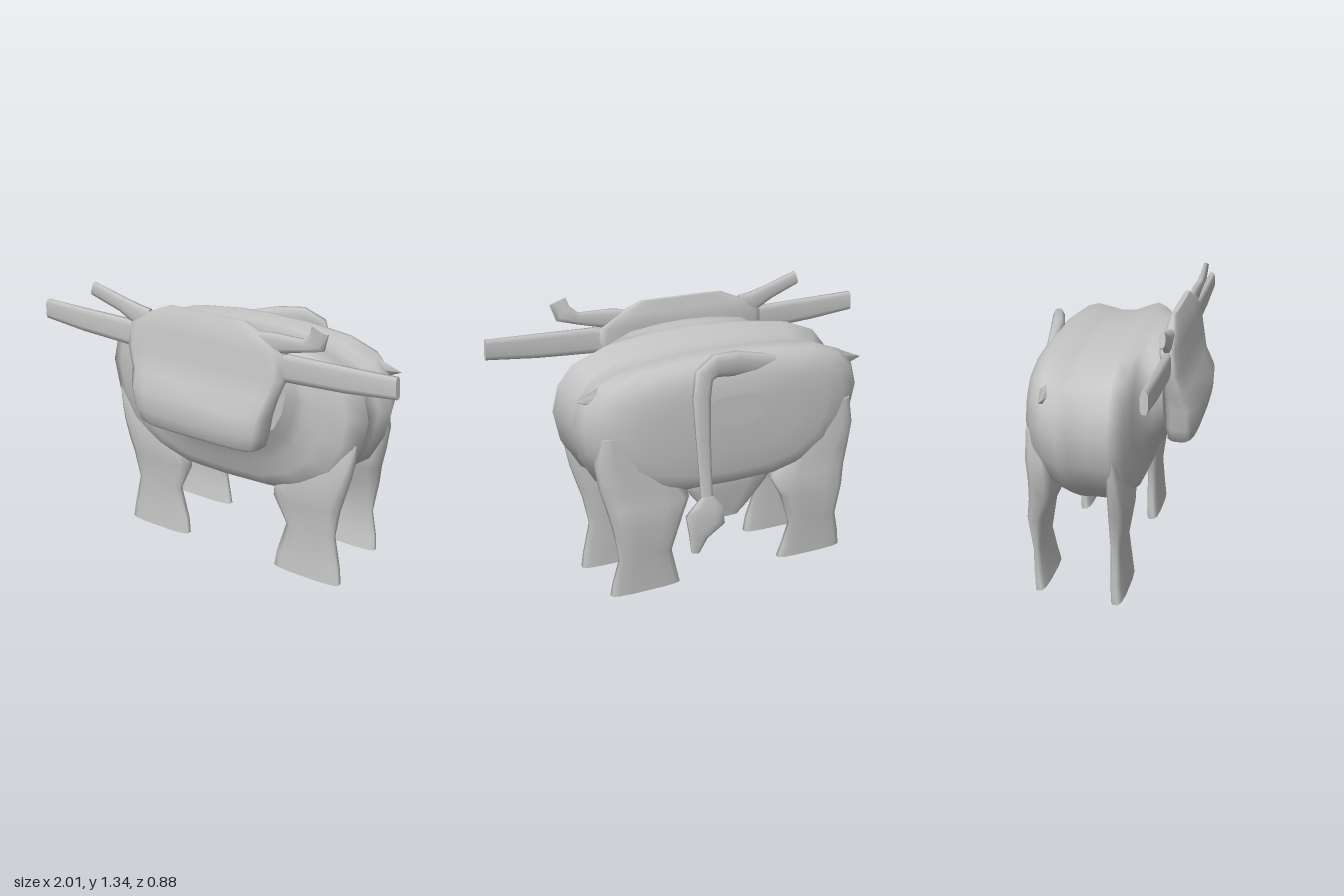
import * as THREE from 'three';

const hide = new THREE.MeshStandardMaterial({ color: 0xc4c4c4, side: THREE.DoubleSide });
hide.name = 'grey hide';

// Skin a list of equal-sized rings of Vector3, with flat caps, faces outward
function loft(name, rings) {
  const n = rings[0].length, pos = [], tris = [];
  rings.forEach(r => r.forEach(p => pos.push(p.x, p.y, p.z)));
  for (let i = 0; i < rings.length - 1; i++) {
    for (let j = 0; j < n; j++) {
      const k = (j + 1) % n, a = i * n + j, b = i * n + k, c = a + n, d = b + n;
      tris.push([a, b, d], [a, d, c]);
    }
  }
  [rings[0], rings[rings.length - 1]].forEach((r, end) => {
    const base = pos.length / 3;
    const mid = r.reduce((s, p) => s.add(p), new THREE.Vector3()).divideScalar(n);
    [mid, ...r].forEach(p => pos.push(p.x, p.y, p.z));
    for (let j = 0; j < n; j++) {
      const a = base + 1 + j, b = base + 1 + (j + 1) % n;
      tris.push(end ? [base, a, b] : [base, b, a]);
    }
  });
  const v = i => new THREE.Vector3(pos[3 * i], pos[3 * i + 1], pos[3 * i + 2]);
  const volume = tris.reduce((s, [a, b, c]) => s + v(a).dot(v(b).cross(v(c))), 0);
  if (volume < 0) tris.forEach(t => t.reverse());
  const geo = new THREE.BufferGeometry();
  geo.setAttribute('position', new THREE.Float32BufferAttribute(pos, 3));
  geo.setIndex(tris.flat());
  geo.computeVertexNormals();
  const mesh = new THREE.Mesh(geo, hide);
  mesh.name = name;
  return mesh;
}

// Rounded-square unit outline; a smaller power is squarer
function outline(n, power) {
  return Array.from({ length: n }, (_, i) => {
    const a = (i + 0.5) / n * Math.PI * 2, c = Math.cos(a), s = Math.sin(a);
    return [Math.sign(c) * Math.abs(c) ** power, Math.sign(s) * Math.abs(s) ** power];
  });
}

// Horizontal layers: [y, x0, x1, z0, z1]
function layers(name, rows, n = 12, power = 0.65) {
  return loft(name, rows.map(([y, x0, x1, z0, z1]) => outline(n, power).map(([u, w]) =>
    new THREE.Vector3((x0 + x1) / 2 + u * (x1 - x0) / 2, y, (z0 + z1) / 2 + w * (z1 - z0) / 2))));
}

// Sweep along a path: [x, y, z, breadth, depth in z]
function sweep(name, rows, n = 8, power = 0.8) {
  const at = rows.map(r => new THREE.Vector3(r[0], r[1], r[2]));
  return loft(name, rows.map((r, i) => {
    const t = at[Math.min(i + 1, at.length - 1)].clone().sub(at[Math.max(i - 1, 0)]).normalize();
    const across = t.clone().cross(new THREE.Vector3(0, 0, 1)).normalize();
    const deep = t.clone().cross(across);
    return outline(n, power).map(([u, w]) => at[i].clone()
      .addScaledVector(across, u * r[3] / 2).addScaledVector(deep, w * r[4] / 2));
  }));
}

export function createModel() {
  const cow = new THREE.Group();
  cow.name = 'cow';

  // Trunk and neck sections: [z, half width, top, bottom]
  const trunk = [
    [0.295, 0.43, 1.16, 0.70], [0.25, 0.46, 1.18, 0.63],
    [0.21, 0.48, 1.175, 0.55], [0.185, 0.57, 1.175, 0.48], [0.16, 0.67, 1.175, 0.43],
    [0.11, 0.755, 1.18, 0.405], [0.0, 0.69, 1.145, 0.39], [-0.08, 0.70, 1.14, 0.39],
    [-0.12, 0.745, 1.14, 0.42], [-0.20, 0.72, 1.16, 0.47], [-0.25, 0.68, 1.15, 0.50],
    [-0.29, 0.60, 1.12, 0.52], [-0.31, 0.50, 1.08, 0.58], [-0.322, 0.36, 1.03, 0.70],
    [-0.327, 0.15, 0.97, 0.82],
  ];
  // Half profile: [fraction of width, fraction of height], spine to belly
  const half = [[0.3, 0.99], [0.65, 0.95], [0.86, 0.87], [0.96, 0.75], [1, 0.59],
    [0.96, 0.4], [0.86, 0.22], [0.64, 0.08], [0.36, 0.01]];
  const section = [[0, 1], ...half, [0, 0], ...half.map(([u, h]) => [-u, h]).reverse()];
  cow.add(loft('body', trunk.map(([z, w, top, low]) =>
    section.map(([u, h]) => new THREE.Vector3(u * w, low + h * (top - low), z)))));

  // Head, from the chin up to the poll
  cow.add(layers('head', [
    [0.70, -0.31, 0.31, 0.31, 0.405], [0.72, -0.35, 0.35, 0.285, 0.425],
    [0.78, -0.37, 0.37, 0.28, 0.44], [0.88, -0.39, 0.39, 0.28, 0.443],
    [0.96, -0.41, 0.41, 0.28, 0.395], [1.06, -0.45, 0.45, 0.275, 0.37],
    [1.17, -0.44, 0.44, 0.26, 0.355], [1.23, -0.35, 0.35, 0.275, 0.34],
    [1.285, -0.22, 0.22, 0.29, 0.315],
  ], 16, 0.5));

  for (const side of [1, -1]) {
    const label = side > 0 ? 'left' : 'right';
    const mirror = (x0, x1) => side > 0 ? [x0, x1] : [-x1, -x0];
    const leg = (name, rows) => cow.add(layers(label + name,
      rows.map(([y, x0, x1, z0, z1]) => [y, ...mirror(x0, x1), z0, z1])));

    leg('FrontLeg', [
      [0.0, 0.27, 0.645, 0.09, 0.155], [0.08, 0.28, 0.635, 0.087, 0.147],
      [0.24, 0.33, 0.60, 0.083, 0.138], [0.38, 0.26, 0.625, 0.075, 0.158],
      [0.46, 0.27, 0.65, 0.075, 0.165], [0.56, 0.40, 0.68, 0.08, 0.16],
      [0.66, 0.55, 0.70, 0.09, 0.145], [0.74, 0.64, 0.71, 0.10, 0.13],
    ]);
    leg('HindLeg', [
      [0.025, 0.27, 0.63, -0.275, -0.215], [0.10, 0.29, 0.62, -0.28, -0.23],
      [0.22, 0.32, 0.59, -0.288, -0.247], [0.38, 0.27, 0.615, -0.312, -0.225],
      [0.48, 0.22, 0.635, -0.303, -0.18], [0.58, 0.28, 0.66, -0.297, -0.16],
      [0.70, 0.42, 0.675, -0.298, -0.17], [0.84, 0.52, 0.65, -0.29, -0.20],
    ]);

    // Long flat ears
    cow.add(sweep(label + 'Ear', [
      [0.41 * side, 1.105, 0.31, 0.12, 0.04], [0.46 * side, 1.115, 0.315, 0.13, 0.04],
      [0.75 * side, 1.125, 0.318, 0.12, 0.036], [1.0 * side, 1.14, 0.318, 0.10, 0.036],
    ], 8, 0.6));

    // Pointed hip bones
    const hip = new THREE.Mesh(new THREE.ConeGeometry(0.06, 0.14, 5), hide);
    hip.name = label + 'HipBone';
    hip.position.set(0.68 * side, 1.01, -0.19);
    hip.rotation.z = -side * Math.PI / 2;
    hip.scale.z = 0.5;
    cow.add(hip);
  }

  // Horns: one straight, one turned up at the tip
  cow.add(sweep('rightHorn', [
    [-0.33, 1.20, 0.31, 0.10, 0.04], [-0.40, 1.205, 0.31, 0.11, 0.04],
    [-0.50, 1.245, 0.315, 0.08, 0.035], [-0.67, 1.30, 0.33, 0.07, 0.03],
  ]));
  cow.add(sweep('leftHorn', [
    [0.31, 1.21, 0.31, 0.09, 0.04], [0.38, 1.215, 0.31, 0.10, 0.04],
    [0.54, 1.235, 0.315, 0.06, 0.035], [0.61, 1.265, 0.325, 0.10, 0.03],
    [0.63, 1.325, 0.335, 0.09, 0.02],
  ]));

  // Udder between the hind legs
  cow.add(layers('udder', [
    [0.31, -0.05, 0.08, -0.235, -0.215], [0.36, -0.11, 0.12, -0.245, -0.185],
    [0.48, -0.22, 0.22, -0.27, -0.13], [0.52, -0.22, 0.22, -0.27, -0.13],
  ]));

  // Tail arching off the rump, with a flat lopsided tuft
  cow.add(sweep('tail', [
    [-0.22, 1.08, -0.27, 0.08, 0.05], [0.0, 1.115, -0.295, 0.12, 0.07],
    [0.12, 1.13, -0.325, 0.11, 0.06], [0.19, 1.10, -0.355, 0.10, 0.05],
    [0.21, 1.0, -0.375, 0.09, 0.035], [0.205, 0.80, -0.383, 0.075, 0.025],
    [0.20, 0.62, -0.395, 0.065, 0.022], [0.20, 0.50, -0.412, 0.06, 0.022],
  ]));
  cow.add(sweep('tailTuft', [
    [0.20, 0.53, -0.41, 0.06, 0.02], [0.20, 0.48, -0.418, 0.16, 0.03],
    [0.215, 0.42, -0.424, 0.22, 0.035], [0.25, 0.34, -0.42, 0.10, 0.035],
    [0.27, 0.26, -0.428, 0.04, 0.015],
  ]));
  return cow;
}
